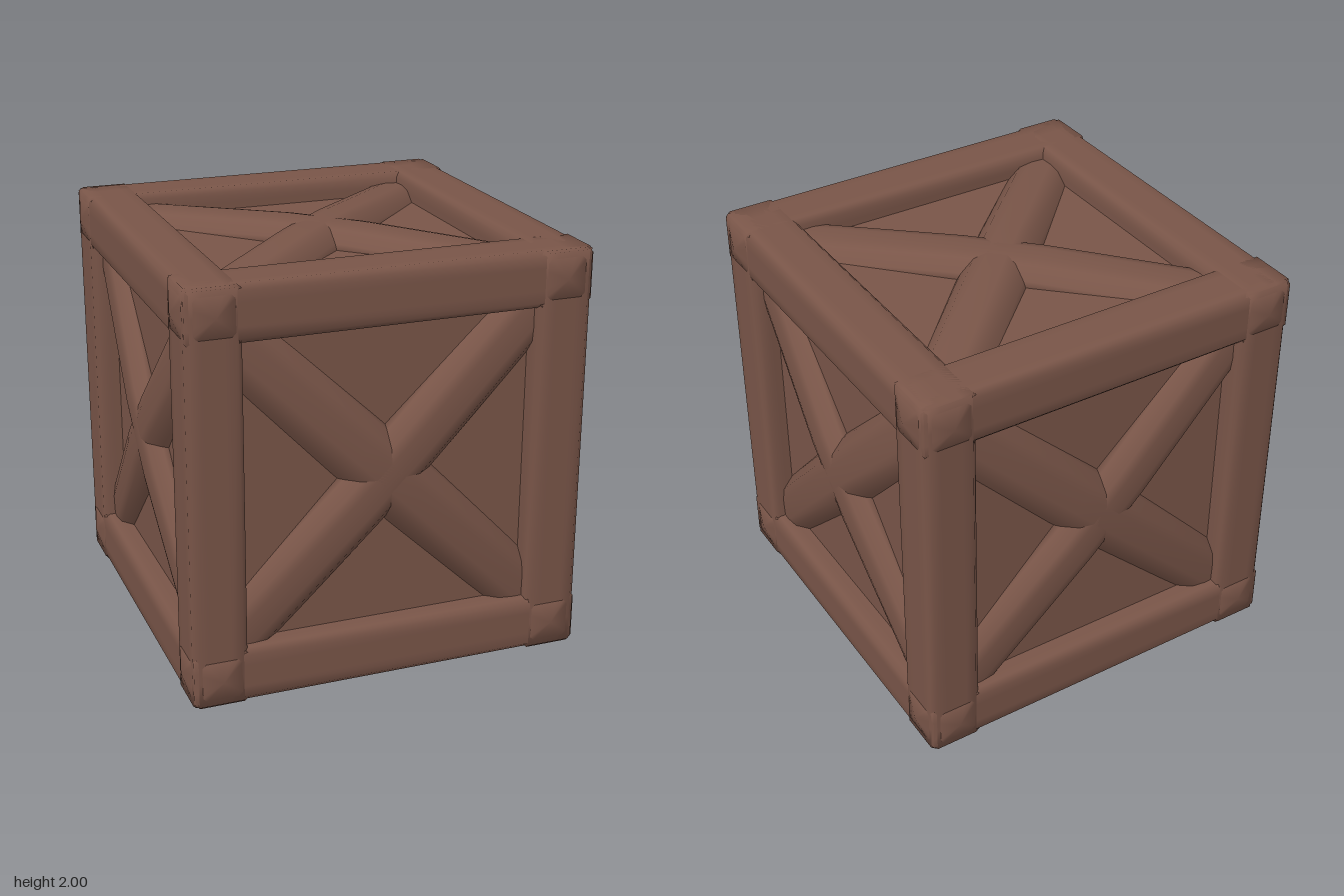
import * as THREE from 'three';

const wood = new THREE.MeshStandardMaterial({ color: 0x795548 });
wood.name = 'brownWood';

// Smooth skin over equal rings stacked along +z, closed by a centre point at each end
function loft(rings, startTip, endTip) {
  const n = rings[0].length, pos = [], idx = [];
  for (const ring of rings) for (const p of ring) pos.push(...p);
  for (let i = 0; i < rings.length - 1; i++) for (let j = 0; j < n; j++) {
    const k = (j + 1) % n, a = i * n + j, b = i * n + k;
    idx.push(a, b, b + n, a, b + n, a + n);
  }
  const s = rings.length * n, last = s - n;
  pos.push(...startTip, ...endTip);
  for (let j = 0; j < n; j++) {
    const k = (j + 1) % n;
    idx.push(s, k, j, s + 1, last + j, last + k);
  }
  const g = new THREE.BufferGeometry();
  g.setAttribute('position', new THREE.Float32BufferAttribute(pos, 3));
  g.setIndex(idx);
  g.computeVertexNormals();
  return g;
}

// Square beam along z with softened edges and shallow pointed ends
function beam(h, half, tip) {
  const section = [];
  for (let q = 0; q < 4; q++) {
    const c = Math.round(Math.cos(q * Math.PI / 2)), s = Math.round(Math.sin(q * Math.PI / 2));
    for (const [x, y] of [[h, h - 0.08], [h, h - 0.025], [h - 0.025, h], [h - 0.08, h]])
      section.push([x * c - y * s, x * s + y * c]);
  }
  const rings = [-half, -half + 0.12, half - 0.12, half].map(z => section.map(([x, y]) => [x, y, z]));
  return loft(rings, [0, 0, -tip], [0, 0, tip]);
}

// Diagonal brace along z, crown towards +y, sloping sides, ends dipping slightly
function brace() {
  const section = [[0.19, -0.14], [0.15, -0.07], [0.1, -0.012], [0.05, 0],
    [-0.05, 0], [-0.1, -0.012], [-0.15, -0.07], [-0.19, -0.14]];
  const rings = [[-1.08, 0.04], [-0.2, 0], [0.2, 0], [1.08, 0.04]].map(([z, dip]) =>
    section.map(([x, y]) => [x, y - dip, z]));
  return loft(rings, [0, -0.1, -1.08], [0, -0.1, 1.08]);
}

export function createModel() {
  const model = new THREE.Group();
  model.name = 'crate';
  const add = (parent, geometry, name, x = 0, y = 0, z = 0) => {
    const m = new THREE.Mesh(geometry, wood);
    m.name = name;
    m.position.set(x, y, z);
    parent.add(m);
    return m;
  };

  // Recessed wall panels
  add(model, new THREE.BoxGeometry(1.7, 1.77, 1.7), 'panels', 0, 1, 0);

  // Corner posts and the rails of the top and bottom frames
  const post = beam(0.131, 0.99, 0.995).rotateX(Math.PI / 2);
  const railZ = beam(0.133, 0.955, 0.99);
  const railX = railZ.clone().rotateY(Math.PI / 2);
  for (const a of [-1, 1]) for (const b of [-1, 1]) {
    add(model, post, 'cornerPost', a * 0.834, 1, b * 0.834);
    add(model, railX, 'crossRail', 0, 1 + a * 0.867, b * 0.83);
    add(model, railZ, 'sideRail', a * 0.83, 1 + b * 0.867, 0);
  }

  // Crossed braces on all six faces
  const braceGeometry = brace();
  const faces = [
    ['top', 0, 0, 0.98], ['bottom', Math.PI, 0, 0.98],
    ['front', Math.PI / 2, 0, 0.945], ['back', -Math.PI / 2, 0, 0.945],
    ['left', 0, -Math.PI / 2, 0.945], ['right', 0, Math.PI / 2, 0.945],
  ];
  for (const [name, rx, rz, out] of faces) {
    const face = new THREE.Group();
    face.name = name + 'Braces';
    face.position.y = 1;
    face.rotation.set(rx, 0, rz);
    for (const s of [-1, 1])
      add(face, braceGeometry, 'diagonalBrace', 0, out, 0).rotation.y = s * Math.PI / 4;
    model.add(face);
  }
  return model;
}
